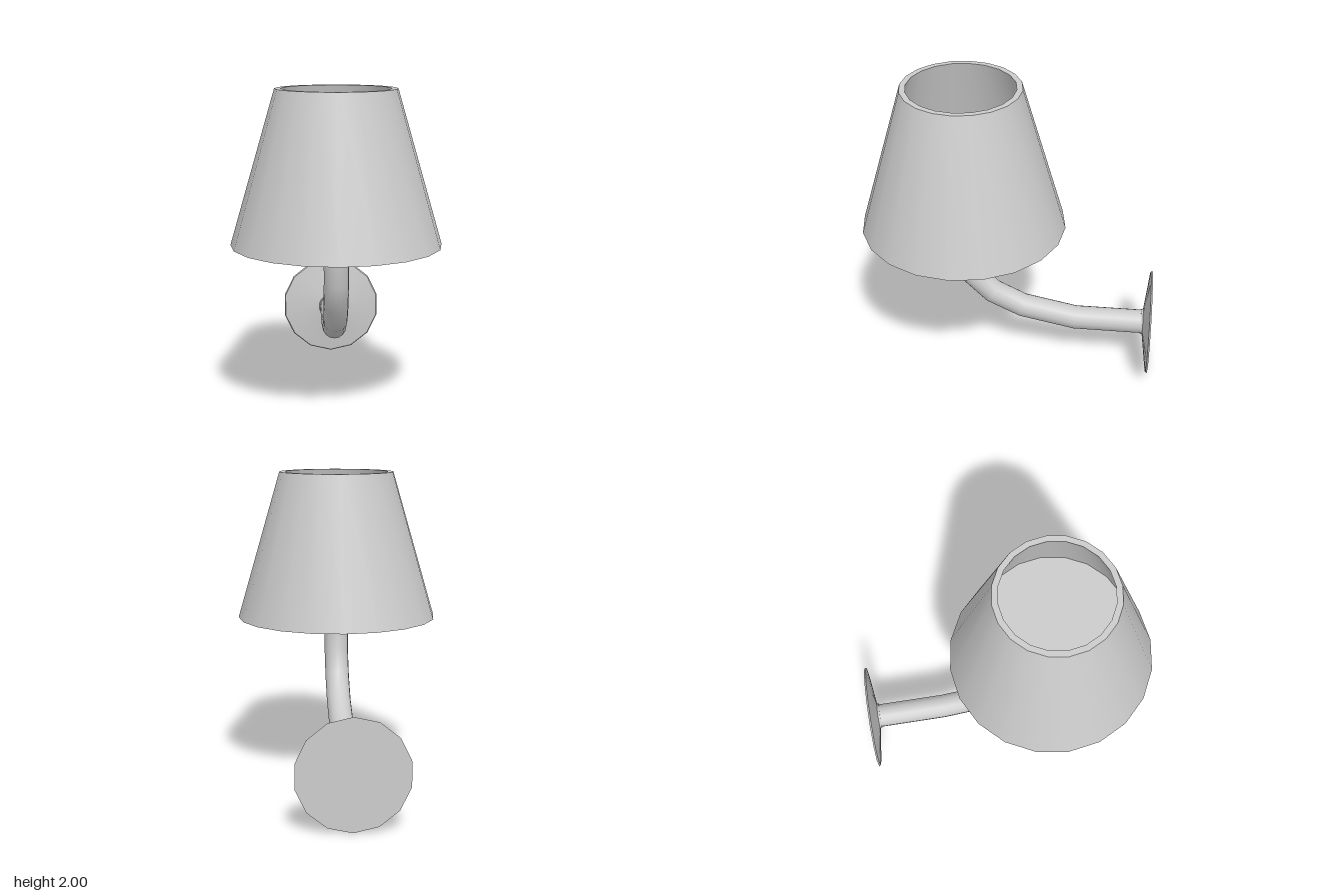
import * as THREE from 'three';
import { toCreasedNormals } from 'three/addons/utils/BufferGeometryUtils.js';

const material = new THREE.MeshStandardMaterial({ color: 0xcccccc });

// Lathe from [radius, height] pairs, smooth around and sharp at the rims
function turned(name, profile, sides) {
  const points = profile.map(([r, y]) => new THREE.Vector2(r, y));
  const geometry = toCreasedNormals(new THREE.LatheGeometry(points, sides), 0.6);
  const mesh = new THREE.Mesh(geometry, material);
  mesh.name = name;
  return mesh;
}

// Path that steps exactly through its corner points, with mitred tangents
class CornerPath extends THREE.Curve {
  constructor(points) {
    super();
    this.points = points;
  }
  getPointAt(t) {
    return this.points[Math.round(t * (this.points.length - 1))].clone();
  }
  getTangentAt(t) {
    const p = this.points, last = p.length - 1, i = Math.round(t * last);
    const before = p[i].clone().sub(p[Math.max(i - 1, 0)]).normalize();
    const after = p[Math.min(i + 1, last)].clone().sub(p[i]).normalize();
    return before.add(after).normalize();
  }
}

export function createModel() {
  const group = new THREE.Group();

  // Thick tapered shade, open at both ends
  const shade = turned('shade', [
    [0.647, 1.052], [0.371, 2], [0.334, 2], [0.587, 1.052], [0.647, 1.052],
  ], 20);
  shade.position.z = 0.29;
  group.add(shade);

  // Disc across the inside of the shade, resting on the arm
  const discMaterial = material.clone();
  discMaterial.side = THREE.DoubleSide;
  const disc = new THREE.Mesh(new THREE.CircleGeometry(0.458, 20), discMaterial);
  disc.name = 'shadeSupport';
  disc.rotation.x = -Math.PI / 2;
  disc.position.set(0, 1.535, 0.29);
  group.add(disc);

  // Bent arm, [z, y] corners from the wall up into the shade
  const corners = [
    [-0.91, 0.347], [-0.44, 0.347], [-0.09, 0.42], [0.11, 0.52],
    [0.24, 0.652], [0.317, 0.81], [0.325, 1.05], [0.325, 1.535],
  ].map(([z, y]) => new THREE.Vector3(0, y, z));
  const arm = new THREE.Mesh(
    new THREE.TubeGeometry(new CornerPath(corners), corners.length - 1, 0.078, 16), material);
  arm.name = 'arm';
  group.add(arm);

  // Shallow conical wall plate with a short collar round the arm
  const plate = turned('wallPlate', [
    [0, -0.934], [0.345, -0.934], [0.338, -0.924], [0.12, -0.894],
    [0.087, -0.889], [0.083, -0.876], [0.07, -0.876],
  ], 14);
  plate.rotation.x = Math.PI / 2;
  plate.position.y = 0.347;
  group.add(plate);

  return group;
}
